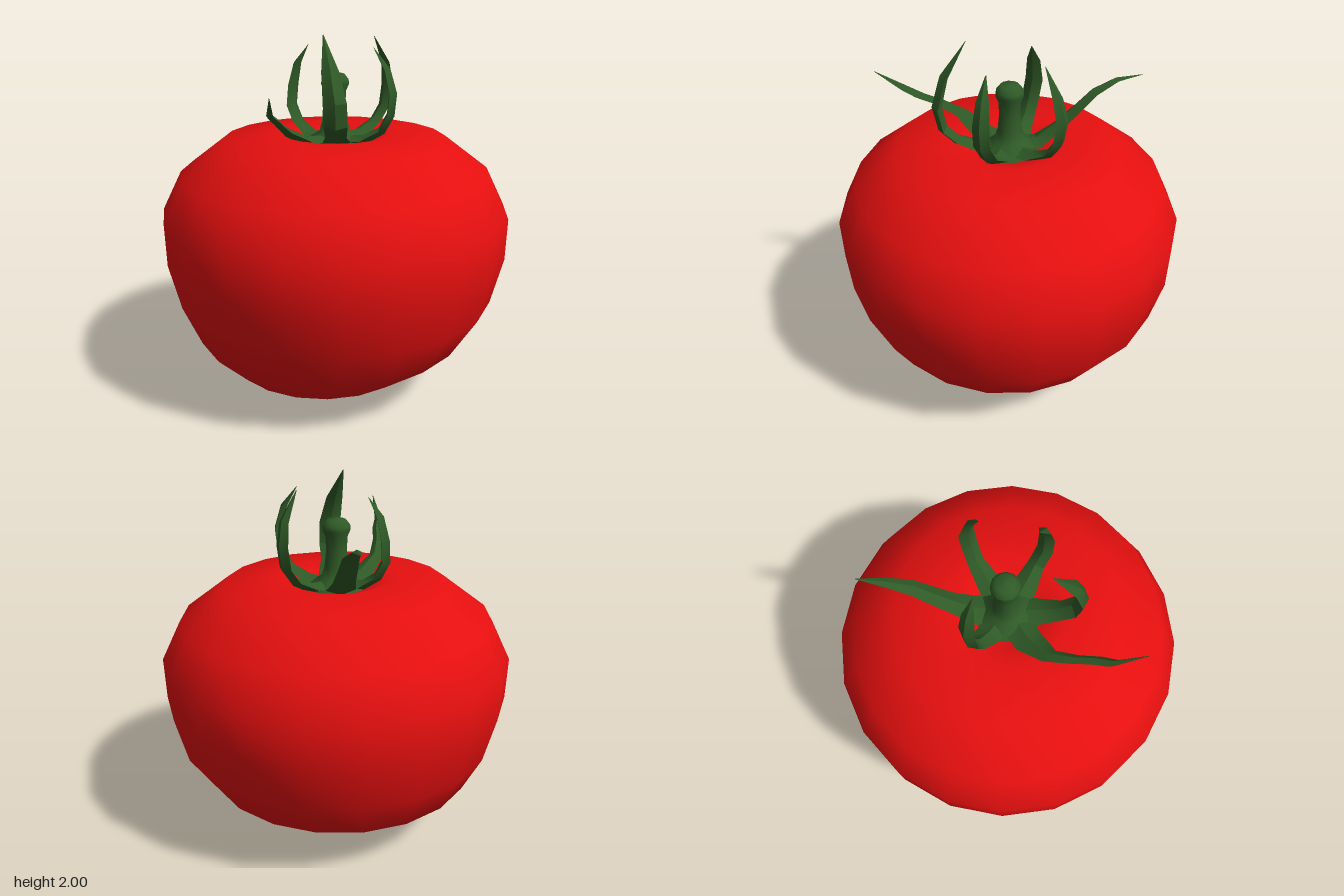
import * as THREE from 'three';
import { toCreasedNormals } from 'three/addons/utils/BufferGeometryUtils.js';

const red = new THREE.MeshStandardMaterial({ color: 0xe60f0f });
red.name = 'tomato red';
const green = new THREE.MeshStandardMaterial({ color: 0x2f5a27 });
green.name = 'stem green';

const lathe = (profile, sides) =>
  new THREE.LatheGeometry(profile.map(([r, y]) => new THREE.Vector2(r, y)), sides);

// Round fruit with a dimple on top and a slightly off-centre bottom
function makeFruit() {
  const geo = lathe([
    [0, 0], [0.13, 0.005], [0.3, 0.045], [0.54, 0.14], [0.765, 0.32], [0.89, 0.55],
    [0.953, 0.81], [0.958, 1.04], [0.85, 1.255], [0.605, 1.44], [0.31, 1.468],
    [0.2, 1.43], [0.13, 1.4], [0, 1.38],
  ], 20);
  geo.scale(1, 1, 0.975);
  const pos = geo.attributes.position;
  for (let i = 0; i < pos.count; i++) {
    const k = Math.max(0, 1 - pos.getY(i) / 0.6) ** 2;
    pos.setX(i, pos.getX(i) - 0.115 * k);
    pos.setZ(i, pos.getZ(i) + 0.05 * k);
  }
  return new THREE.Mesh(geo, red);
}

// Sepal: diamond cross-sections along a path of [x, y, z, half width]
function makeSepal(path) {
  const pts = path.map(([x, y, z]) => new THREE.Vector3(x, y, z));
  const mid = pts[2];
  const side = new THREE.Vector3(mid.z, 0, -mid.x).normalize();
  const verts = [], index = [];
  pts.forEach((p, i) => {
    const dir = pts[Math.min(i + 1, pts.length - 1)].clone()
      .sub(pts[Math.max(i - 1, 0)]).normalize();
    const out = dir.clone().cross(side).normalize();
    const w = path[i][3], t = Math.min(w * 0.5, 0.026);
    for (const [a, b] of [[w, 0], [0, t], [-w, 0], [0, -t]]) {
      verts.push(...p.clone().addScaledVector(side, a).addScaledVector(out, b));
    }
    if (i === 0) return;
    for (let j = 0; j < 4; j++) {
      const a = (i - 1) * 4 + j, b = (i - 1) * 4 + (j + 1) % 4;
      index.push(a, b, b + 4, a, b + 4, a + 4);
    }
  });
  const geo = new THREE.BufferGeometry();
  geo.setAttribute('position', new THREE.Float32BufferAttribute(verts, 3));
  geo.setIndex(index);
  return new THREE.Mesh(toCreasedNormals(geo, 0.5), green);
}

const sepals = {
  backSepal: [[0, 1.43, -0.04, 0.09], [0, 1.44, -0.16, 0.08], [0, 1.51, -0.26, 0.06],
    [0, 1.61, -0.37, 0.05], [0, 1.7, -0.46, 0.042], [-0.005, 1.76, -0.58, 0.025], [0, 1.78, -0.715, 0.002]],
  backLeftSepal: [[0.04, 1.43, -0.03, 0.08], [0.15, 1.44, -0.1, 0.065], [0.24, 1.5, -0.17, 0.045],
    [0.29, 1.58, -0.2, 0.045], [0.305, 1.7, -0.215, 0.045], [0.29, 1.82, -0.19, 0.035], [0.22, 1.965, -0.14, 0.002]],
  frontLeftSepal: [[0.04, 1.43, 0.03, 0.08], [0.15, 1.44, 0.09, 0.065], [0.24, 1.5, 0.14, 0.045],
    [0.28, 1.59, 0.18, 0.045], [0.29, 1.7, 0.185, 0.045], [0.26, 1.82, 0.17, 0.035], [0.19, 1.93, 0.14, 0.002]],
  frontSepal: [[0, 1.43, 0.04, 0.09], [0, 1.44, 0.15, 0.075], [-0.01, 1.49, 0.27, 0.055],
    [-0.015, 1.56, 0.34, 0.06], [-0.02, 1.68, 0.365, 0.06], [-0.04, 1.83, 0.32, 0.045], [-0.07, 2, 0.2, 0.002]],
  frontRightSepal: [[-0.03, 1.43, 0.03, 0.09], [-0.16, 1.44, 0.11, 0.075], [-0.26, 1.51, 0.21, 0.045],
    [-0.295, 1.57, 0.33, 0.035], [-0.31, 1.61, 0.43, 0.033], [-0.335, 1.65, 0.51, 0.028], [-0.33, 1.76, 0.66, 0.002]],
  backRightSepal: [[-0.04, 1.43, -0.03, 0.08], [-0.13, 1.44, -0.09, 0.065], [-0.2, 1.5, -0.14, 0.05],
    [-0.235, 1.59, -0.17, 0.05], [-0.225, 1.7, -0.185, 0.05], [-0.2, 1.82, -0.175, 0.038], [-0.14, 1.92, -0.15, 0.002]],
};

export function createModel() {
  const model = new THREE.Group();
  model.name = 'tomato';
  const add = (mesh, name, parent = model) => {
    mesh.name = name;
    parent.add(mesh);
  };
  add(makeFruit(), 'fruit');

  // Stalk with flared foot and rounded knob
  add(new THREE.Mesh(lathe([
    [0.17, 1.4], [0.14, 1.44], [0.085, 1.47], [0.065, 1.53], [0.056, 1.62], [0.06, 1.69],
    [0.075, 1.725], [0.073, 1.75], [0.05, 1.78], [0, 1.787],
  ], 12).translate(0, 0, -0.01), green), 'stalk');

  // Ring of curling sepals
  const calyx = new THREE.Group();
  calyx.name = 'calyx';
  for (const [name, path] of Object.entries(sepals)) add(makeSepal(path), name, calyx);
  model.add(calyx);
  return model;
}
